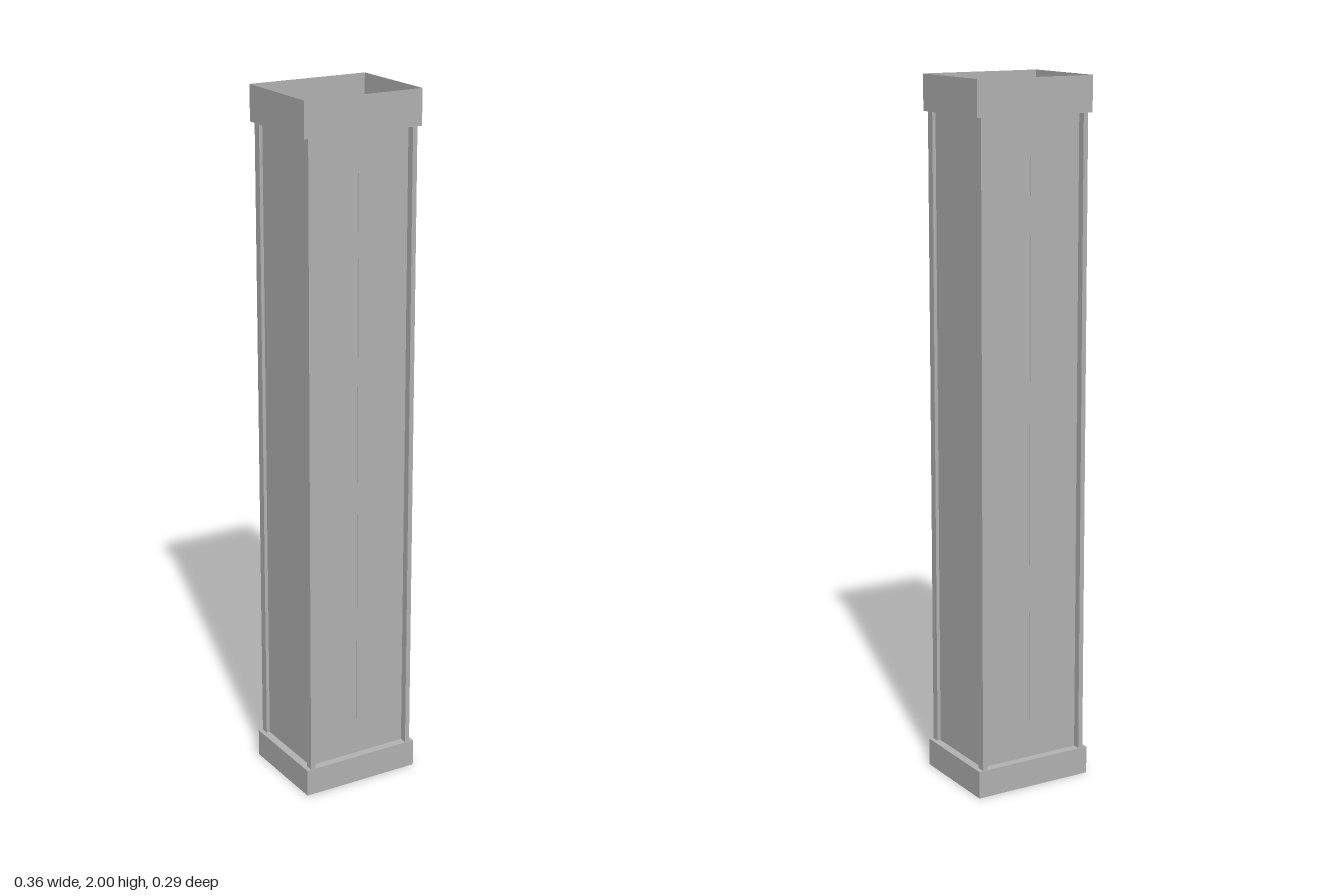
import * as THREE from 'three';

const HALF_X = 0.18, HALF_Z = 0.144;      // footprint of base and cap
const BASE_TOP = 0.08, CAP_BOTTOM = 1.9, TOP = 2;

export function createModel() {
  const group = new THREE.Group();
  const grey = new THREE.MeshStandardMaterial({ color: 0xb2b2b2 });
  grey.name = 'grey';
  const greySheet = new THREE.MeshStandardMaterial({ color: 0xb2b2b2, side: THREE.DoubleSide });
  greySheet.name = 'greySheet';

  const add = (name, geometry, material, x, y, z) => {
    const mesh = new THREE.Mesh(geometry, material);
    mesh.name = name;
    mesh.position.set(x, y, z);
    group.add(mesh);
  };

  // Box of thin sheet with one face left out (2 = top, 3 = bottom)
  const openBox = (height, missingFace) => {
    const geometry = new THREE.BoxGeometry(HALF_X * 2, height, HALF_Z * 2);
    const index = Array.from(geometry.index.array);
    index.splice(missingFace * 6, 6);
    geometry.setIndex(index);
    geometry.clearGroups();
    return geometry;
  };

  // Base open below, cap open above
  add('base', openBox(BASE_TOP, 3), greySheet, 0, BASE_TOP / 2, 0);
  add('cap', openBox(TOP - CAP_BOTTOM, 2), greySheet, 0, (TOP + CAP_BOTTOM) / 2, 0);

  // Recessed shaft
  const shaftHeight = CAP_BOTTOM - BASE_TOP;
  const middle = (CAP_BOTTOM + BASE_TOP) / 2;
  add('shaft', new THREE.BoxGeometry(0.314, shaftHeight, 0.24), grey, 0, middle, 0);

  // Corner posts standing proud of the shaft
  const post = new THREE.BoxGeometry(0.014, shaftHeight, 0.024);
  for (const sx of [-1, 1]) {
    for (const sz of [-1, 1]) add('cornerPost', post, grey, sx * 0.16, middle, sz * 0.13);
  }

  // Fine vertical seams on front and back
  const seam = new THREE.BoxGeometry(0.003, 1.6, 0.004);
  for (const sz of [-1, 1]) add('seam', seam, grey, 0, 0.99, sz * 0.12);

  return group;
}
